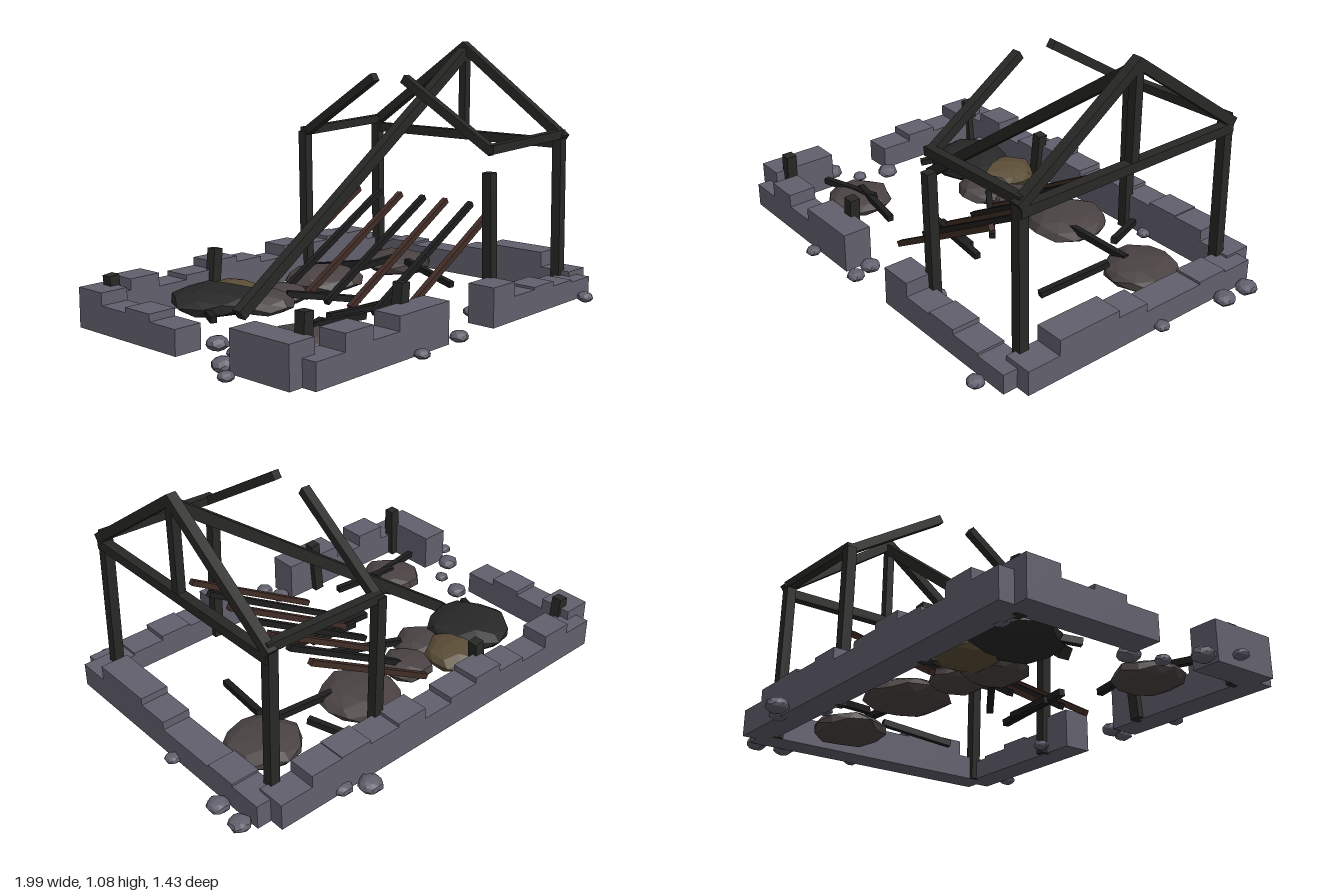
import * as THREE from 'three';

const mat = (name, color) => {
  const m = new THREE.MeshStandardMaterial({ color, flatShading: true });
  m.name = name;
  return m;
};

export function createModel() {
  const root = new THREE.Group();
  root.name = 'ruinedHouse';
  const stone = mat('wall stone', 0x62606d);
  const char = mat('charred timber', 0x282826);
  const soot = mat('sooty timber', 0x1d1e1d);
  const brown = mat('scorched brown timber', 0x412c25);
  const ash = mat('ash', 0x4b4343);
  const coal = mat('coal', 0x272727);
  const straw = mat('burnt straw', 0x5a4d36);

  let seed = 7;
  const rnd = () => (seed = (seed * 16807) % 2147483647) / 2147483647;

  const group = (name) => {
    const g = new THREE.Group();
    g.name = name;
    root.add(g);
    return g;
  };

  // Square timber running from a to b
  const beam = (parent, name, a, b, size, material) => {
    const p = new THREE.Vector3(...a), q = new THREE.Vector3(...b);
    const m = new THREE.Mesh(new THREE.BoxGeometry(size, size, p.distanceTo(q)), material);
    m.position.copy(p).add(q).multiplyScalar(0.5);
    m.lookAt(q);
    m.name = name;
    parent.add(m);
  };

  // Faceted lump with slightly uneven corners
  const lump = (parent, name, [x, y, z], [rx, ry, rz], material) => {
    const g = new THREE.IcosahedronGeometry(1, 1);
    const pos = g.attributes.position, v = new THREE.Vector3();
    const off = rnd() * 6;
    for (let i = 0; i < pos.count; i++) {
      v.fromBufferAttribute(pos, i);
      const k = 1 + 0.08 * Math.sin(v.x * 5 + off) * Math.cos(v.z * 4 + v.y * 3 + off);
      pos.setXYZ(i, v.x * k * rx, v.y * k * ry, v.z * k * rz);
    }
    g.computeVertexNormals();
    const m = new THREE.Mesh(g, material);
    m.position.set(x, y, z);
    m.name = name;
    parent.add(m);
  };

  // Broken walls: one block per step, zero height leaves a gap
  const S = 0.1417, T = 0.12, BASE = 0.02;
  const wall = (name, tops, along, fixed) => {
    const g = group(name);
    tops.forEach((top, i) => {
      if (!top) return;
      const h = top - BASE, c = (i - (tops.length - 1) / 2) * S;
      const m = new THREE.Mesh(
        along === 'x' ? new THREE.BoxGeometry(S, h, T) : new THREE.BoxGeometry(T, h, S), stone);
      m.position.set(along === 'x' ? c : fixed, BASE + h / 2, along === 'x' ? fixed : c);
      m.name = 'wallBlock';
      g.add(m);
    });
  };
  wall('backWall', [0.14, 0.185, 0.13, 0.15, 0.185, 0.16, 0.135, 0.185, 0.17, 0.185, 0.18, 0.13], 'x', -0.568);
  wall('frontWall', [0.12, 0.185, 0.13, 0.185, 0.185, 0, 0, 0.18, 0.12, 0.13, 0.11, 0.1], 'x', 0.568);
  wall('rightWall', [0.18, 0.13, 0.15, 0.12, 0, 0, 0.18, 0.18], 'z', -0.85);
  wall('leftWall', [0.12, 0.13, 0.12, 0.12, 0.155, 0.185, 0.185, 0.12], 'z', 0.85);

  // Standing frame
  const frame = group('timberFrame');
  for (const s of [-1, 1]) {
    const z = s * 0.505;
    beam(frame, 'gablePost', [0.795, 0.02, z], [0.78, 0.7, z], 0.042, char);
    beam(frame, 'middlePost', [0.292, 0.02, z], s > 0 ? [0.272, 0.6, z] : [0.28, 0.69, z], 0.042, char);
    beam(frame, 'eavesBeam', [0.27, 0.69, z], [0.8, 0.71, z], 0.036, char);
    beam(frame, 'gableRafter', [0.79, 0.69, s * 0.525], [0.79, 1.07, -s * 0.01], 0.04, char);
    beam(frame, 'brokenRafter', [0.288, 0.68, s * 0.51], [0.264, 0.95, s * 0.08], 0.036, char);
    beam(frame, 'brokenCornerPost', [-0.785, 0.02, z], [s > 0 ? -0.775 : -0.805, s > 0 ? 0.255 : 0.22, z], 0.045, char);
    beam(frame, 'brokenMiddlePost', [-0.29, 0.02, z], [-0.268, s > 0 ? 0.26 : 0.24, z], 0.045, char);
  }
  beam(frame, 'tieBeam', [0.79, 0.67, -0.52], [0.79, 0.67, 0.52], 0.04, char);
  beam(frame, 'kingPost', [0.79, 0.67, 0], [0.79, 1.06, 0], 0.036, char);
  beam(frame, 'fallenRidge', [0.79, 1.045, 0], [-0.53, 0.08, -0.08], 0.045, char);

  // Collapsed roof slats
  const slats = group('fallenSlats');
  [-0.365, -0.243, -0.12, 0.005, 0.13, 0.258, 0.38].forEach((z, i) => {
    const lean = i % 2 ? 0.008 : 0.004;
    beam(slats, 'slat', [-0.125, 0.065, z - lean], [0.483, 0.422, z + lean], 0.024, i % 2 ? soot : brown);
  });

  // Loose timbers on the ground
  const loose = group('looseTimbers');
  [
    [-0.745, 0.09, 0.345, -0.45, 0.11, 0.28], [-0.56, 0.11, 0.28, -0.265, 0.1, 0.325],
    [-0.26, 0.06, 0.135, 0.135, 0.05, 0.175], [-0.18, 0.05, 0.125, 0.05, 0.05, 0.145],
    [-0.2, 0.09, -0.15, 0.05, 0.05, 0.03], [0.345, 0.06, -0.5, 0.44, 0.09, -0.29],
    [0.56, 0.1, -0.14, 0.5, 0.05, 0.16], [0.2, 0.09, -0.23, 0.59, 0.11, -0.21],
    [-0.64, 0.08, -0.1, -0.56, 0.1, -0.27],
  ].forEach(([a, b, c, d, e, f]) => beam(loose, 'looseTimber', [a, b, c], [d, e, f], 0.026, soot));

  // Heaps of ash, coal and straw
  const heaps = group('burntHeaps');
  lump(heaps, 'coalHeap', [-0.485, 0.1, -0.27], [0.175, 0.06, 0.18], coal);
  lump(heaps, 'strawHeap', [-0.315, 0.08, -0.345], [0.125, 0.055, 0.13], straw);
  [
    [-0.28, -0.2, 0.125, 0.05], [-0.13, -0.255, 0.11, 0.045], [0.165, -0.285, 0.17, 0.055],
    [0.635, -0.255, 0.155, 0.055], [-0.56, 0.29, 0.14, 0.05],
  ].forEach(([x, z, r, h]) => lump(heaps, 'ashHeap', [x, h + 0.012, z], [r, h, r], ash));

  // Scattered rubble
  const rubble = group('rubble');
  [
    [0.47, -0.675, 0.048], [0.56, -0.62, 0.04], [0.95, -0.515, 0.043], [0.95, -0.39, 0.043],
    [0.925, -0.07, 0.03], [-0.735, 0.025, 0.044], [-0.77, 0.155, 0.03], [-0.89, 0.23, 0.046],
    [-0.97, 0.33, 0.03], [-0.34, 0.66, 0.03], [-0.1, 0.54, 0.04], [-0.075, 0.625, 0.036],
    [0.24, 0.45, 0.033], [0.75, 0.67, 0.035], [-0.7, -0.505, 0.035], [0.41, -0.5, 0.03],
  ].forEach(([x, z, r]) => lump(rubble, 'rubbleStone', [x, 0.036, z], [r, r * 0.65, r], stone));

  return root;
}
